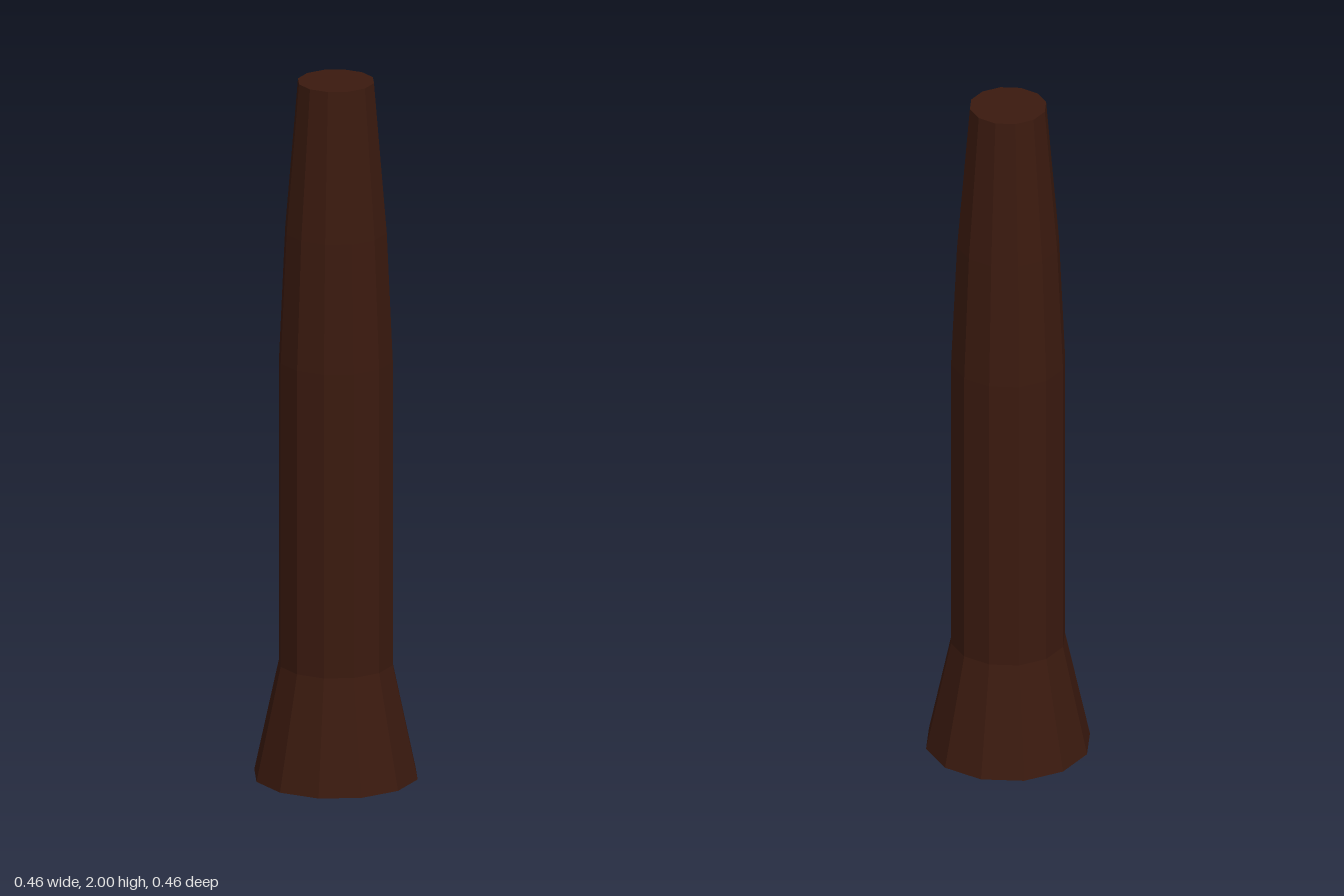
import * as THREE from 'three';

// Twelve-sided turned post: flared foot, straight shaft, tapered neck
export function createModel() {
  const group = new THREE.Group();
  group.name = 'post';
  const wood = new THREE.MeshStandardMaterial({ color: 0x3b1a0f, flatShading: true });

  // Each section is a run of [radius, height] rings, closed to the axis at the ends
  const sections = {
    flaredFoot: [[0, 0], [0.23, 0], [0.16, 0.325]],
    shaft: [[0.16, 0.325], [0.16, 1.2]],
    taperedNeck: [[0.16, 1.2], [0.143, 1.57], [0.107, 2], [0, 2]],
  };
  for (const [name, rings] of Object.entries(sections)) {
    const profile = rings.map(([r, y]) => new THREE.Vector2(r, y));
    const mesh = new THREE.Mesh(new THREE.LatheGeometry(profile, 12), wood);
    mesh.name = name;
    group.add(mesh);
  }
  return group;
}
